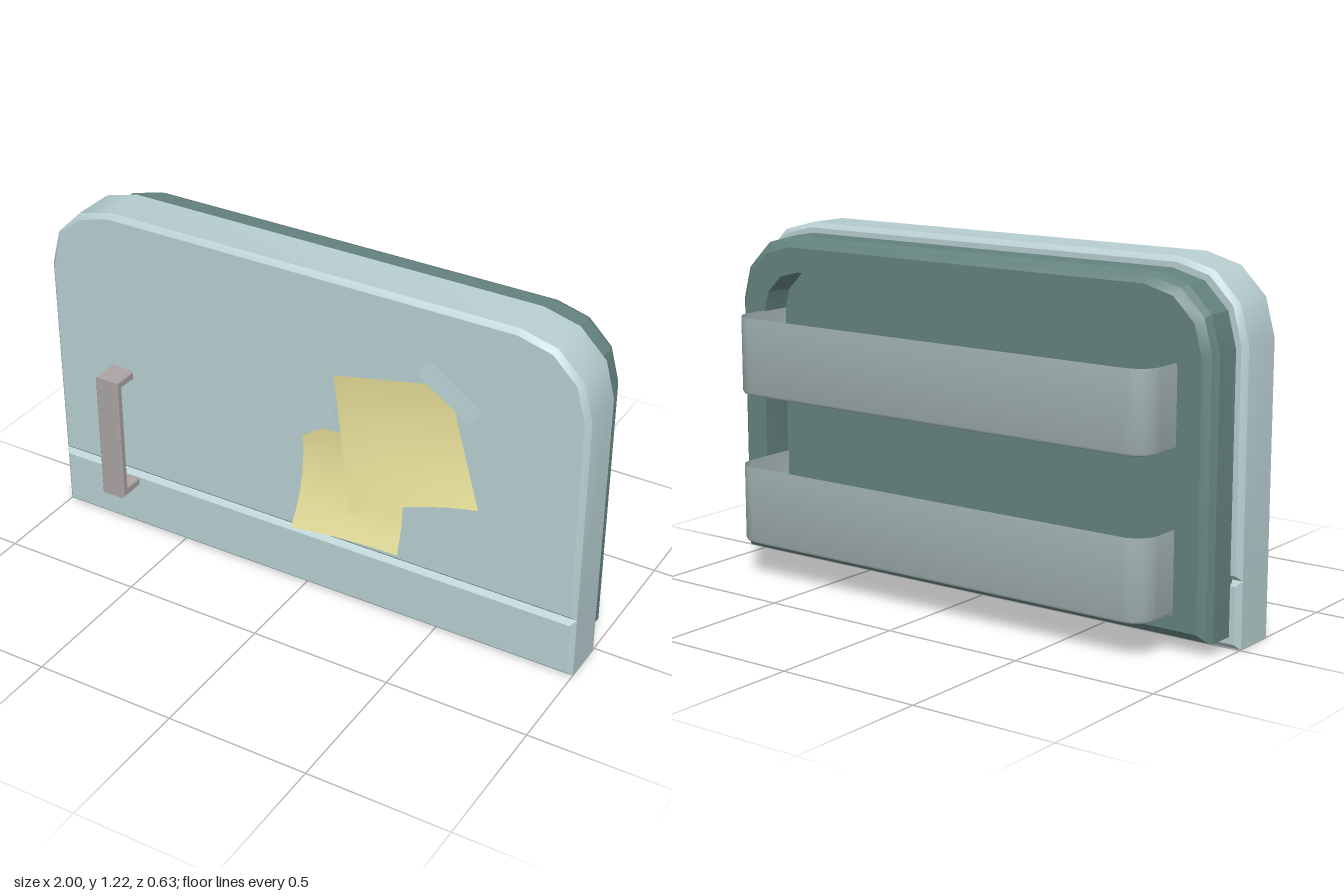
import * as THREE from 'three';
import { toCreasedNormals } from 'three/addons/utils/BufferGeometryUtils.js';

const mat = (name, color, side = THREE.FrontSide) => {
  const m = new THREE.MeshStandardMaterial({ color, side });
  m.name = name;
  return m;
};

// Outline with square bottom corners and top corners cut in three facets
function outline(hw, y0, y1, r) {
  const pts = [[-hw, y0], [hw, y0]];
  for (const s of [1, -1]) {
    for (let i = 0; i < 4; i++) {
      const a = (s > 0 ? i : 3 - i) * Math.PI / 6;
      pts.push([s * (hw - r + r * Math.cos(a)), y1 - r + r * Math.sin(a)]);
    }
  }
  return pts;
}

// Bevelled slab from a 2D outline; the bevel stays inside the outline
function slab(pts, z0, z1, bevel) {
  const shape = new THREE.Shape(pts.map(([x, y]) => new THREE.Vector2(x, y)));
  const geo = new THREE.ExtrudeGeometry(shape, {
    depth: z1 - z0 - 2 * bevel, bevelEnabled: true, bevelSize: bevel,
    bevelThickness: bevel, bevelOffset: -bevel, bevelSegments: 1,
  });
  geo.translate(0, 0, z0 + bevel);
  return toCreasedNormals(geo, 0.62);
}

// Skin stretched over rows of points; optionally closed around and filled at the end
function loft(rows, closed, fill, crease) {
  const n = rows[0].length, index = [];
  rows.slice(1).forEach((_, r) => {
    for (let i = 0; i < (closed ? n : n - 1); i++) {
      const a = r * n + i, b = r * n + (i + 1) % n;
      index.push(a, a + n, b, b, a + n, b + n);
    }
  });
  if (fill) {
    const base = (rows.length - 1) * n;
    for (let i = 1; i < n - 1; i++) index.push(base, base + i + 1, base + i);
  }
  const geo = new THREE.BufferGeometry();
  geo.setAttribute('position', new THREE.Float32BufferAttribute(rows.flat(2), 3));
  geo.setIndex(index);
  return toCreasedNormals(geo, crease);
}

// Curled sheet between four corners: top left, top right, bottom left, bottom right
function sheet([tl, tr, bl, br], bend = 0, lift = 0) {
  const geo = new THREE.PlaneGeometry(1, 1, 8, 8), p = geo.attributes.position;
  const mix = THREE.MathUtils.lerp;
  for (let i = 0; i < p.count; i++) {
    const u = p.getX(i) + 0.5, t = 0.5 - p.getY(i);
    const at = (k, v) => mix(mix(tl[k], tr[k], u), mix(bl[k], br[k], u), v);
    p.setXYZ(i,
      at(0, t) + bend * 4 * t * (1 - t),
      at(1, t) + lift * 4 * u * (1 - u) * t,
      at(2, bend ? t * t : t));
  }
  geo.computeVertexNormals();
  return geo;
}

// Open storage bin: U-shaped wall with rounded corners and a flat bottom
function bin(y0, y1) {
  const hw = 0.842, back = -0.315, floor = -0.04, r = 0.08;
  const ring = (y, d) => {
    const pts = [[hw - d, y, floor]];
    for (const s of [1, -1]) {
      for (let i = 0; i <= 6; i++) {
        const a = (s > 0 ? i : 6 - i) * Math.PI / 12;
        pts.push([s * (hw - r + (r - d) * Math.cos(a)), y, back + r - (r - d) * Math.sin(a)]);
      }
    }
    pts.push([d - hw, y, floor]);
    return pts;
  };
  const rows = [ring(y1, 0), ring(y0 + 0.012, 0), ring(y0 + 0.004, 0.004), ring(y0, 0.012)];
  // reverse so the wall faces outward
  return loft(rows.map((row) => row.reverse()), false, true, 0.6);
}

export function createModel() {
  const model = new THREE.Group();
  model.name = 'fridgeDoor';

  const shell = mat('paleBlueShell', 0xb7ced0);
  const teal = mat('tealLiner', 0x64827f, THREE.DoubleSide);
  const grey = mat('binGrey', 0xa6b6b7, THREE.DoubleSide);
  const metal = mat('handleGrey', 0xaaa4a4);
  const yellow = mat('paperYellow', 0xdcd592, THREE.DoubleSide);
  const clear = mat('tapeBlue', 0xb4c9cd, THREE.DoubleSide);

  const add = (name, geo, material) => {
    const mesh = new THREE.Mesh(geo, material);
    mesh.name = name;
    model.add(mesh);
    return mesh;
  };

  // Outer panel in two pieces that meet in a groove
  add('upperPanel', slab(outline(1, 0.222, 1.215, 0.25), -0.01, 0.18, 0.017), shell);
  add('lowerPanel', slab([[-1, 0], [1, 0], [1, 0.222], [-1, 0.222]], -0.01, 0.18, 0.017), shell);

  // Liner: bevelled rim around a recess; rows are side inset, bottom inset, corner radius, z
  const liner = [
    [0, 0, 0.23, 0], [0, 0, 0.23, -0.105], [0.012, 0.012, 0.22, -0.13], [0.035, 0.035, 0.21, -0.15],
    [0.12, 0.08, 0.16, -0.15], [0.12, 0.08, 0.16, -0.04],
  ].map(([d, b, r, z]) =>
    outline(0.965 - d, 0.04 + b, 1.18 - d, r).map(([x, y]) => [x, y, z]));
  add('liner', loft(liner, true, true, 0.35), teal);

  // Storage bins
  add('lowerBin', bin(0.122, 0.395), grey);
  add('upperBin', bin(0.645, 0.915), grey);

  // C-shaped handle, profile drawn in depth and height
  const profile = [
    [0.17, 0.17], [0.276, 0.17], [0.276, 0.64], [0.17, 0.64],
    [0.17, 0.605], [0.245, 0.605], [0.245, 0.205], [0.17, 0.205],
  ];
  const handle = add('handle', slab(profile, -0.045, 0.045, 0.006), metal);
  handle.rotation.y = -Math.PI / 2;
  handle.position.x = -0.725;

  // Curled paper notes
  add('lowerNote', sheet([
    [0.0, 0.66, 0.196], [0.36, 0.68, 0.196], [0.025, 0.32, 0.305], [0.415, 0.34, 0.29],
  ], 0.008, 0.008), yellow);
  add('upperNote', sheet([
    [0.125, 0.88, 0.2], [0.53, 0.96, 0.188], [0.25, 0.458, 0.315], [0.692, 0.605, 0.28],
  ], -0.016, 0.022), yellow);

  // Strips of tape
  add('lowerTape', sheet([
    [-0.07, 0.64, 0.2], [0.11, 0.765, 0.203], [-0.035, 0.59, 0.208], [0.138, 0.71, 0.214],
  ]), clear);
  add('upperTape', sheet([
    [0.46, 1.03, 0.19], [0.655, 0.905, 0.2], [0.415, 0.98, 0.198], [0.612, 0.855, 0.208],
  ]), clear);

  return model;
}
